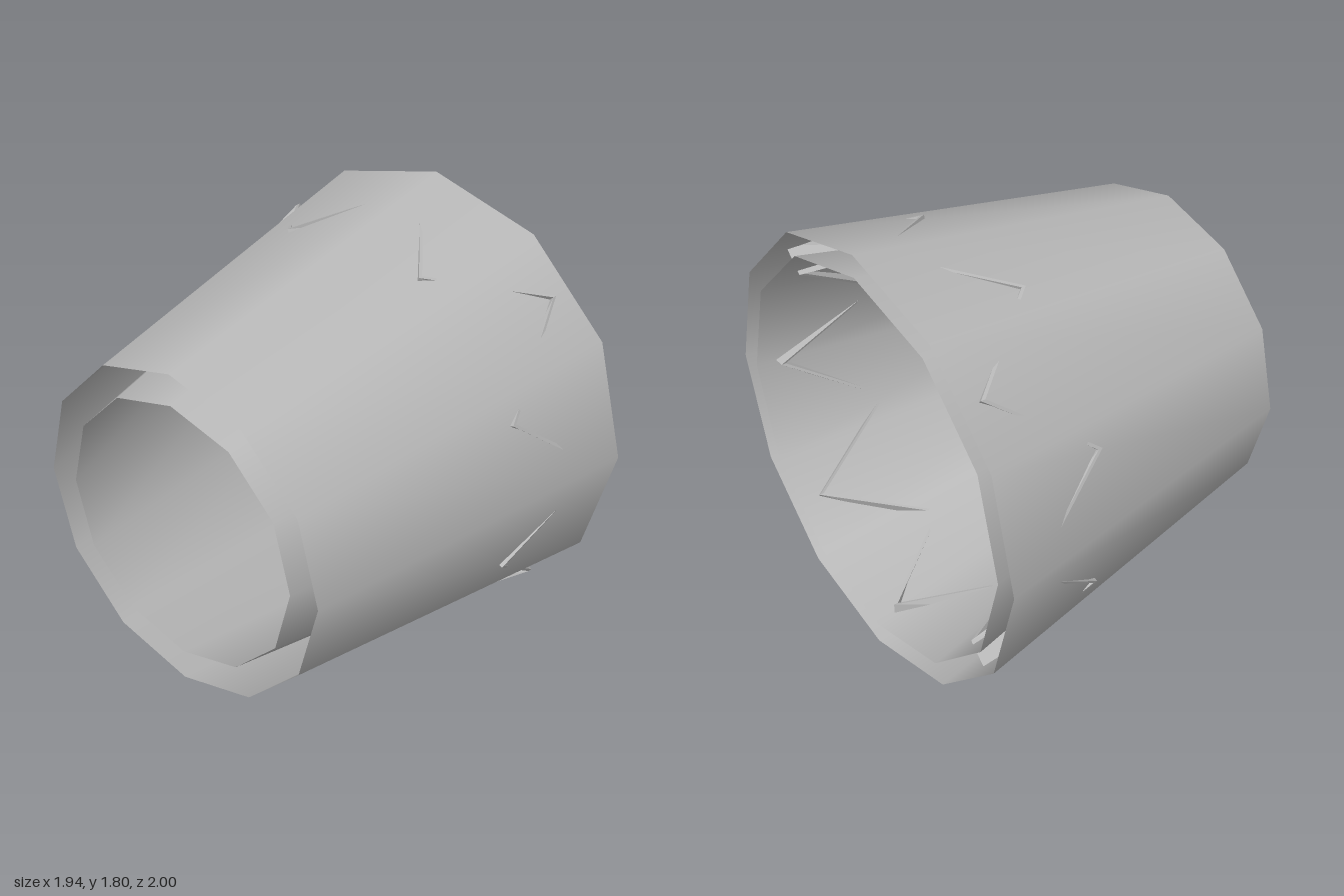
import * as THREE from 'three';

export function createModel() {
  const grey = new THREE.MeshStandardMaterial({ color: 0xb8b8b8, side: THREE.DoubleSide });
  grey.name = 'plain grey';

  const LENGTH = 1.433;
  const tube = new THREE.Group();
  tube.name = 'taperedTube';

  // Open twelve-sided tapered shell; its wide end is at local x = 0
  function shell(name, wide, narrow) {
    const g = new THREE.CylinderGeometry(wide, narrow, LENGTH, 12, 1, true);
    g.rotateZ(-Math.PI / 2);
    g.translate(-LENGTH / 2, 0, 0);
    const mesh = new THREE.Mesh(g, grey);
    mesh.name = name;
    tube.add(mesh);
  }
  shell('outerShell', 0.9, 0.647);
  shell('innerShell', 0.81, 0.525);

  // Thin zigzag ring of straight struts between the shells, near the wide end
  const STRUTS = 16;
  const THICK = 0.018;
  const positions = [];
  const corners = (i) => {
    const tip = i % 2 === 0;
    const angle = (i / STRUTS) * Math.PI * 2;
    const point = (x, r) => [x, r * Math.cos(angle), r * Math.sin(angle)];
    const x = tip ? -0.08 : -0.48;
    const inner = tip ? 0.75 : 0.705;
    const outer = tip ? 0.872 : 0.806;
    return [point(x, inner), point(x, outer), point(x - THICK, outer), point(x - THICK, inner)];
  };
  for (let i = 0; i < STRUTS; i++) {
    const a = corners(i);
    const b = corners(i + 1);
    for (let j = 0; j < 4; j++) {
      const k = (j + 1) % 4;
      positions.push(...a[j], ...a[k], ...b[k], ...a[j], ...b[k], ...b[j]);
    }
  }
  const g = new THREE.BufferGeometry();
  g.setAttribute('position', new THREE.Float32BufferAttribute(positions, 3));
  g.computeVertexNormals();
  const lattice = new THREE.Mesh(g, grey);
  lattice.name = 'zigzagStruts';
  tube.add(lattice);

  // Lay the tube on its side, turned so the narrow end faces front right
  tube.rotation.y = 0.419;
  tube.position.set(0.603, 0.9, -0.18);

  const model = new THREE.Group();
  model.name = 'model';
  model.add(tube);
  return model;
}
